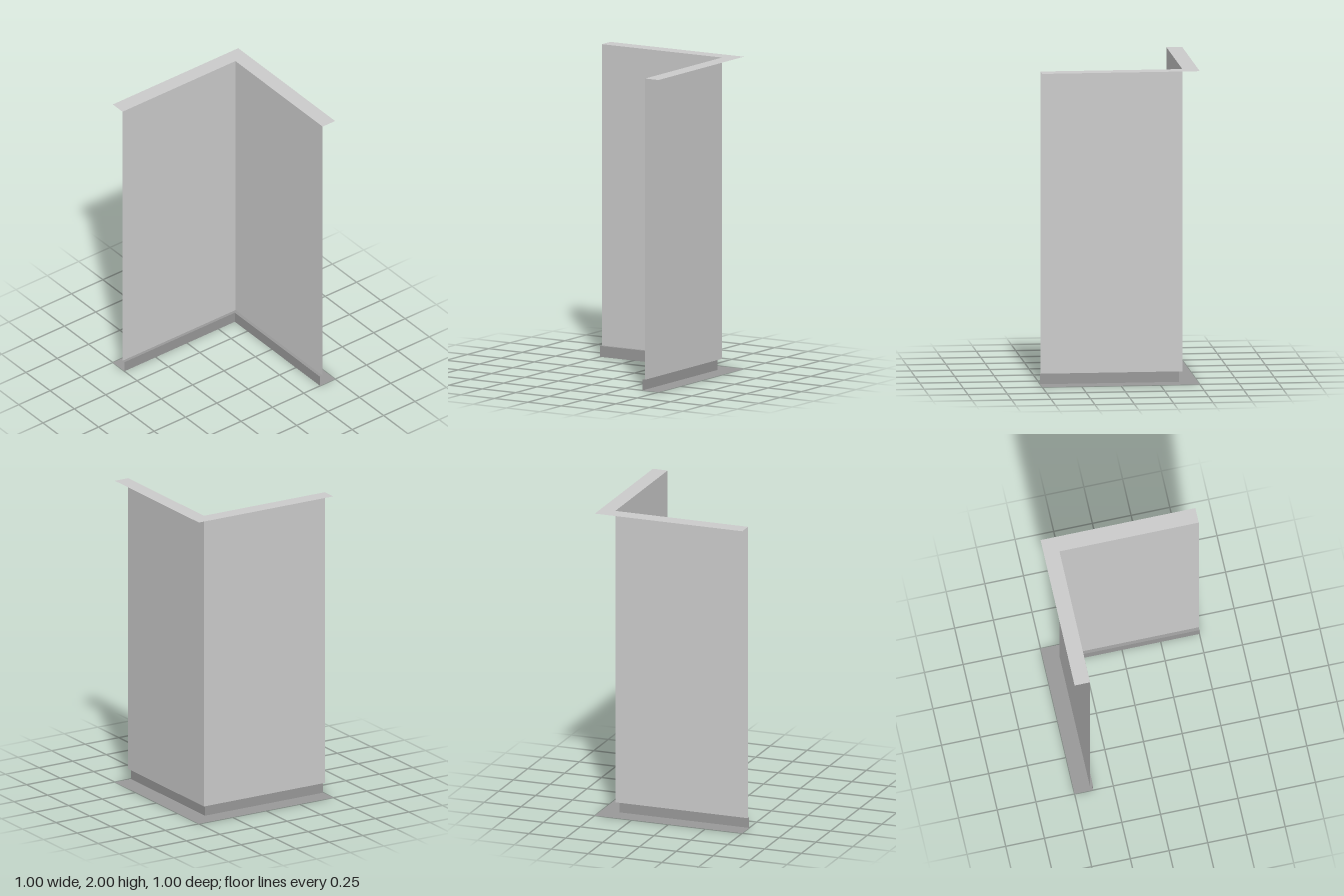
import * as THREE from 'three';

const HALF = 0.5; // half of the footprint

// Sweeps a profile of [inset from outer edge, height] points along the L-shaped
// path with a mitred corner. Sharp edges, open ends.
function sweepCorner(profile) {
  const stations = ([d, y]) => [
    [-HALF + d, y, HALF],
    [-HALF + d, y, -HALF + d],
    [HALF, y, -HALF + d],
  ];
  const positions = [];
  for (let i = 0; i < profile.length - 1; i++) {
    const p = stations(profile[i]);
    const q = stations(profile[i + 1]);
    for (let s = 0; s < 2; s++) {
      positions.push(...p[s], ...q[s], ...q[s + 1], ...p[s], ...q[s + 1], ...p[s + 1]);
    }
  }
  const geometry = new THREE.BufferGeometry();
  geometry.setAttribute('position', new THREE.Float32BufferAttribute(positions, 3));
  geometry.computeVertexNormals();
  return geometry;
}

export function createModel() {
  const group = new THREE.Group();
  group.name = 'cornerWall';

  const wallPaint = new THREE.MeshStandardMaterial({ color: 0xcccccc, side: THREE.DoubleSide });
  wallPaint.name = 'wallPaint';
  const skirtingPaint = new THREE.MeshStandardMaterial({ color: 0x999999, side: THREE.DoubleSide });
  skirtingPaint.name = 'skirtingPaint';

  const add = (name, profile, material) => {
    const mesh = new THREE.Mesh(sweepCorner(profile), material);
    mesh.name = name;
    group.add(mesh);
  };

  // Flat cap over the wall thickness
  add('wallCap', [[0, 2], [0.1, 2]], wallPaint);
  // Inner wall faces
  add('wallFaces', [[0.1, 2], [0.1, 0.07]], wallPaint);
  // Skirting ledge, face and underside
  add('skirting', [[0.1, 0.07], [0.12, 0.07], [0.12, 0], [0, 0]], skirtingPaint);

  return group;
}
